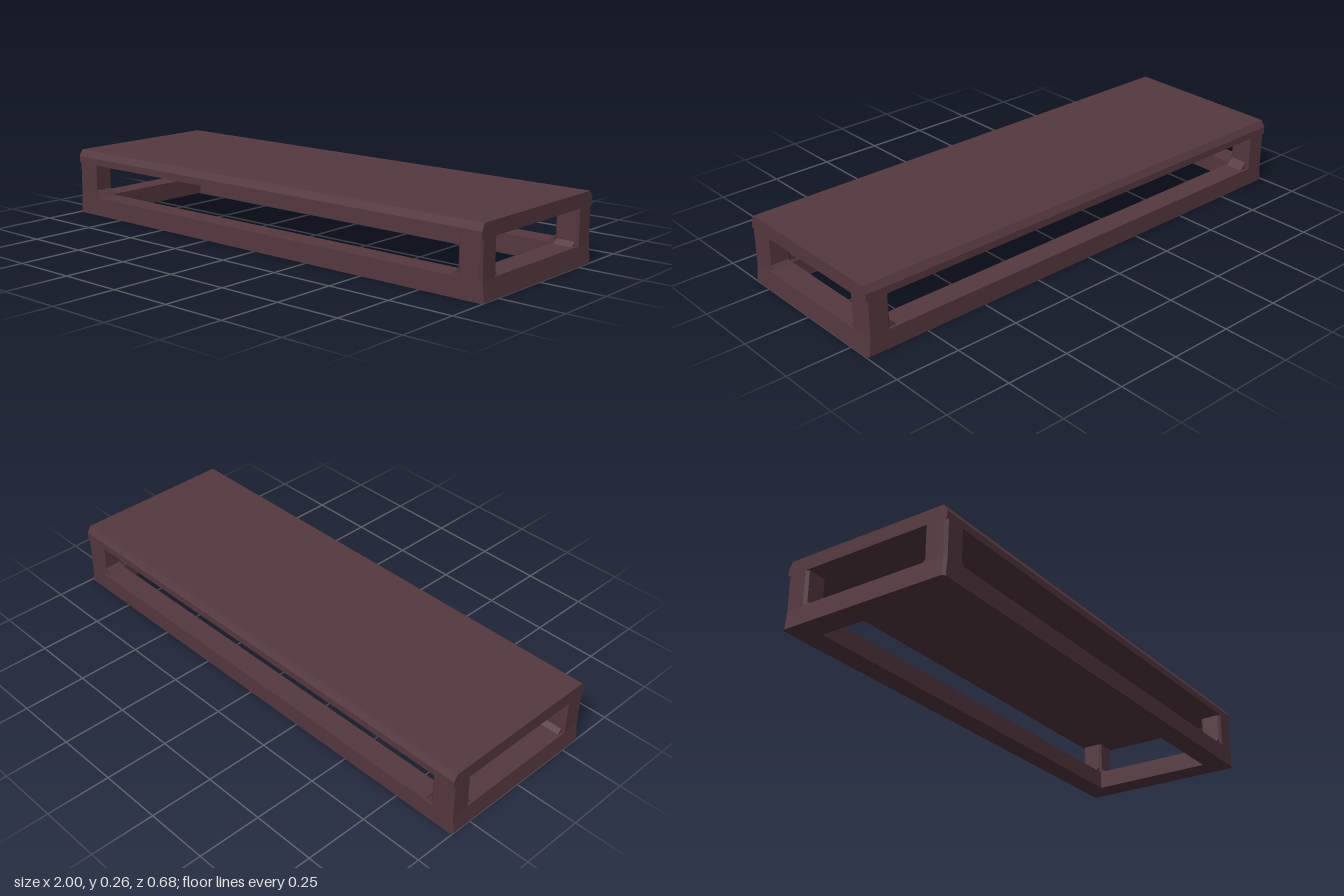
import * as THREE from 'three';

export function createModel() {
  const group = new THREE.Group();
  const wood = new THREE.MeshStandardMaterial({ color: 0x55383f });
  wood.name = 'dark wood';

  const add = (name, geometry) => {
    const mesh = new THREE.Mesh(geometry, wood);
    mesh.name = name;
    group.add(mesh);
    return mesh;
  };
  // Prism from an outline, centred along its extrusion
  const prism = (points, depth, holes = []) => {
    const shape = new THREE.Shape(points.map(p => new THREE.Vector2(...p)));
    for (const h of holes) shape.holes.push(new THREE.Path(h.map(p => new THREE.Vector2(...p))));
    return new THREE.ExtrudeGeometry(shape, { depth, bevelEnabled: false }).translate(0, 0, -depth / 2);
  };
  // Rectangle with cut corners
  const cutRect = (w, h, c) => [
    [-w + c, -h], [w - c, -h], [w, -h + c], [w, h - c],
    [w - c, h], [-w + c, h], [-w, h - c], [-w, -h + c],
  ];

  // Table top with bevelled long edges
  add('tableTop', prism([
    [-0.34, 0.208], [0.34, 0.208], [0.34, 0.235],
    [0.325, 0.261], [-0.325, 0.261], [-0.34, 0.235],
  ], 1.985).rotateY(Math.PI / 2));

  // Base frame with a rectangular opening, flaring slightly at the floor
  const hole = [[-0.9, -0.25], [-0.9, 0.25], [0.9, 0.25], [0.9, -0.25]];
  const frame = prism(cutRect(1, 0.34, 0.01), 0.073, [hole]).rotateX(-Math.PI / 2).translate(0, 0.0365, 0);
  const pos = frame.attributes.position;
  for (let i = 0; i < pos.count; i++) {
    if (pos.getY(i) > 0.05 && Math.abs(pos.getX(i)) > 0.95) pos.setX(i, pos.getX(i) * 0.993);
  }
  frame.computeVertexNormals();
  add('baseFrame', frame);

  for (const x of [-1, 1]) for (const z of [-1, 1]) {
    // Corner post with cut edges
    add('leg', prism(cutRect(0.0465, 0.045, 0.01), 0.138).rotateX(Math.PI / 2))
      .position.set(x * 0.9465, 0.141, z * 0.295);

    // Small braces between post and base rails
    const long = add('longBrace', prism([[0, 0], [0.03, 0], [0, 0.03]], 0.07));
    long.position.set(x * 0.9, 0.072, z * 0.295);
    long.rotation.y = x > 0 ? Math.PI : 0;
    const short = add('shortBrace', prism([[0, 0], [0.018, 0], [0, 0.018]], 0.073));
    short.position.set(x * 0.9465, 0.072, z * 0.25);
    short.rotation.y = z * Math.PI / 2;
  }
  return group;
}
